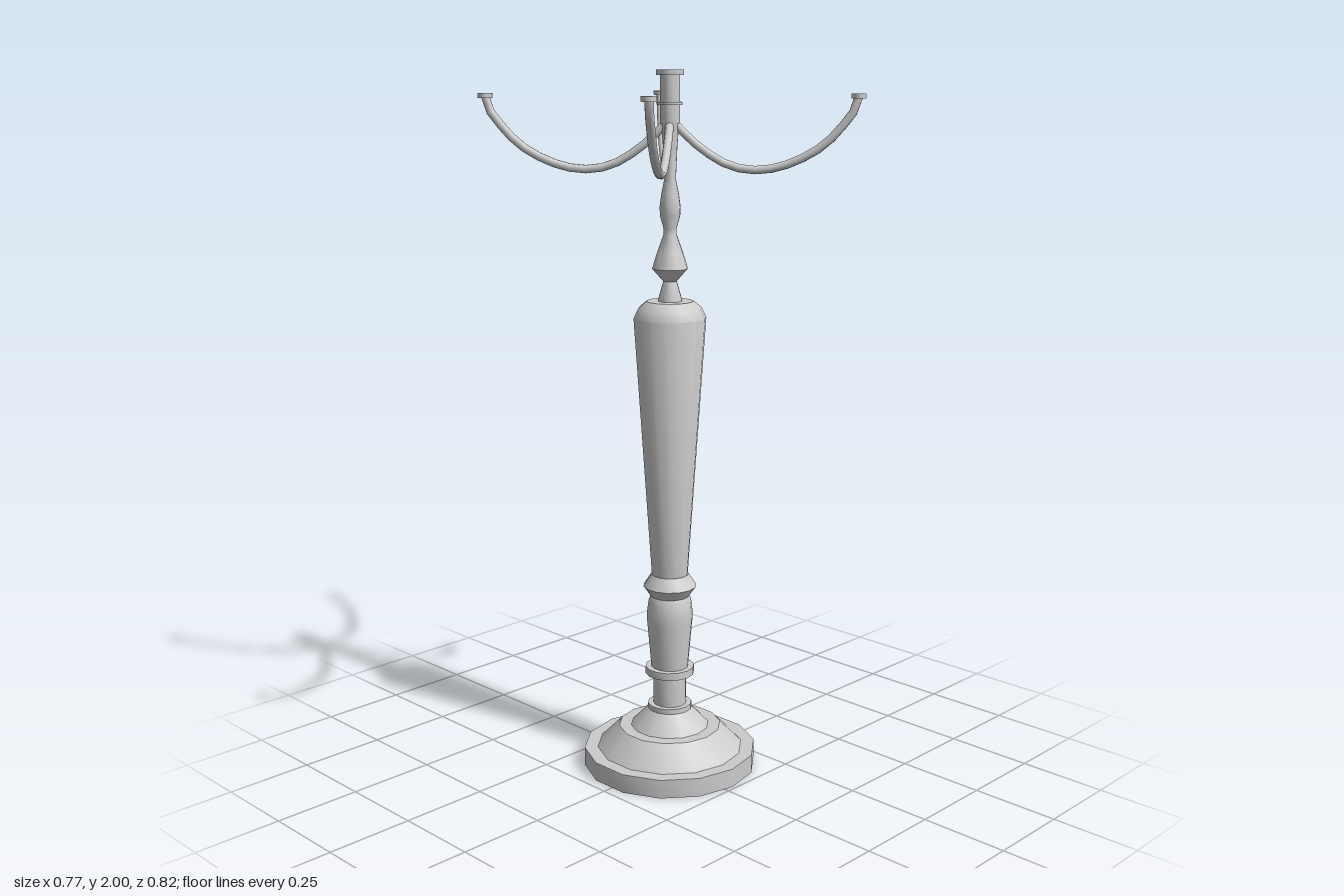
import * as THREE from 'three';
import { toCreasedNormals } from 'three/addons/utils/BufferGeometryUtils.js';

const material = new THREE.MeshStandardMaterial({ color: 0xcccccc });
const AXIS = new THREE.Vector3(0.027, 0, -0.011);

// Turned part from [radius, height] pairs listed bottom to top
function turned(name, profile, sides = 14) {
  const points = profile.map(([r, y]) => new THREE.Vector2(r, y));
  const geometry = toCreasedNormals(new THREE.LatheGeometry(points, sides), 0.6);
  const mesh = new THREE.Mesh(geometry, material);
  mesh.name = name;
  return mesh;
}

// Curved arm sweeping from the stem to a small cup at (x, z)
function candleArm(name, x, z) {
  const arm = new THREE.Group();
  arm.name = name;
  const dx = x - AXIS.x, dz = z - AXIS.z;
  const sweep = [[0.01, 1.866], [0.08, 1.83], [0.18, 1.787], [0.32, 1.747], [0.46, 1.735],
    [0.62, 1.749], [0.81, 1.798], [0.93, 1.86], [0.985, 1.9], [1, 1.93]];
  const curve = new THREE.CatmullRomCurve3(
    sweep.map(([t, y]) => new THREE.Vector3(dx * t, y, dz * t)));
  const tube = new THREE.Mesh(new THREE.TubeGeometry(curve, 14, 0.0115, 10), material);
  tube.name = 'armTube';
  const cup = turned('armCup', [[0, 1.925], [0.02, 1.925], [0.02, 1.938],
    [0.016, 1.938], [0.016, 1.933], [0, 1.933]]);
  cup.position.set(dx, 0, dz);
  arm.add(tube, cup);
  return arm;
}

export function createModel() {
  const model = new THREE.Group();
  model.name = 'candelabra';
  const stand = new THREE.Group();
  stand.name = 'stand';
  stand.position.copy(AXIS);
  model.add(stand);

  // Stepped foot
  stand.add(turned('foot', [[0, 0], [0.252, 0], [0.252, 0.055], [0.213, 0.055],
    [0.149, 0.12], [0.114, 0.12], [0.062, 0.175], [0, 0.175]]));

  // Lower stem with collars and vase
  stand.add(turned('lowerStem', [[0, 0.172], [0.064, 0.172], [0.064, 0.188], [0.048, 0.188],
    [0.048, 0.28], [0.071, 0.28], [0.071, 0.302], [0.054, 0.302], [0.066, 0.44],
    [0.067, 0.465], [0.062, 0.505], [0.056, 0.518], [0.077, 0.548], [0.054, 0.583], [0, 0.583]]));

  // Tapered column with rounded shoulder
  stand.add(turned('column', [[0, 0.58], [0.052, 0.58], [0.102, 1.328], [0.088, 1.357],
    [0.066, 1.375], [0, 1.375]]));

  // Slender baluster
  stand.add(turned('upperStem', [[0, 1.37], [0.034, 1.372], [0.032, 1.385], [0.019, 1.43],
    [0.05, 1.465], [0.036, 1.51], [0.018, 1.56], [0.018, 1.575], [0.028, 1.61],
    [0.029, 1.635], [0.024, 1.67], [0.016, 1.71], [0.02, 1.8], [0.025, 1.862], [0, 1.862]]));

  // Central candle socket
  stand.add(turned('socket', [[0, 1.858], [0.027, 1.858], [0.027, 1.907], [0.034, 1.907],
    [0.034, 1.915], [0.027, 1.915], [0.027, 1.985], [0.038, 1.985], [0.038, 2],
    [0.027, 2], [0.027, 1.985], [0, 1.985]]));

  // Four arms
  stand.add(candleArm('backRightArm', -0.303, -0.391));
  stand.add(candleArm('backLeftArm', 0.365, -0.385));
  stand.add(candleArm('frontRightArm', -0.367, 0.306));
  stand.add(candleArm('frontLeftArm', 0.336, 0.388));
  return model;
}
